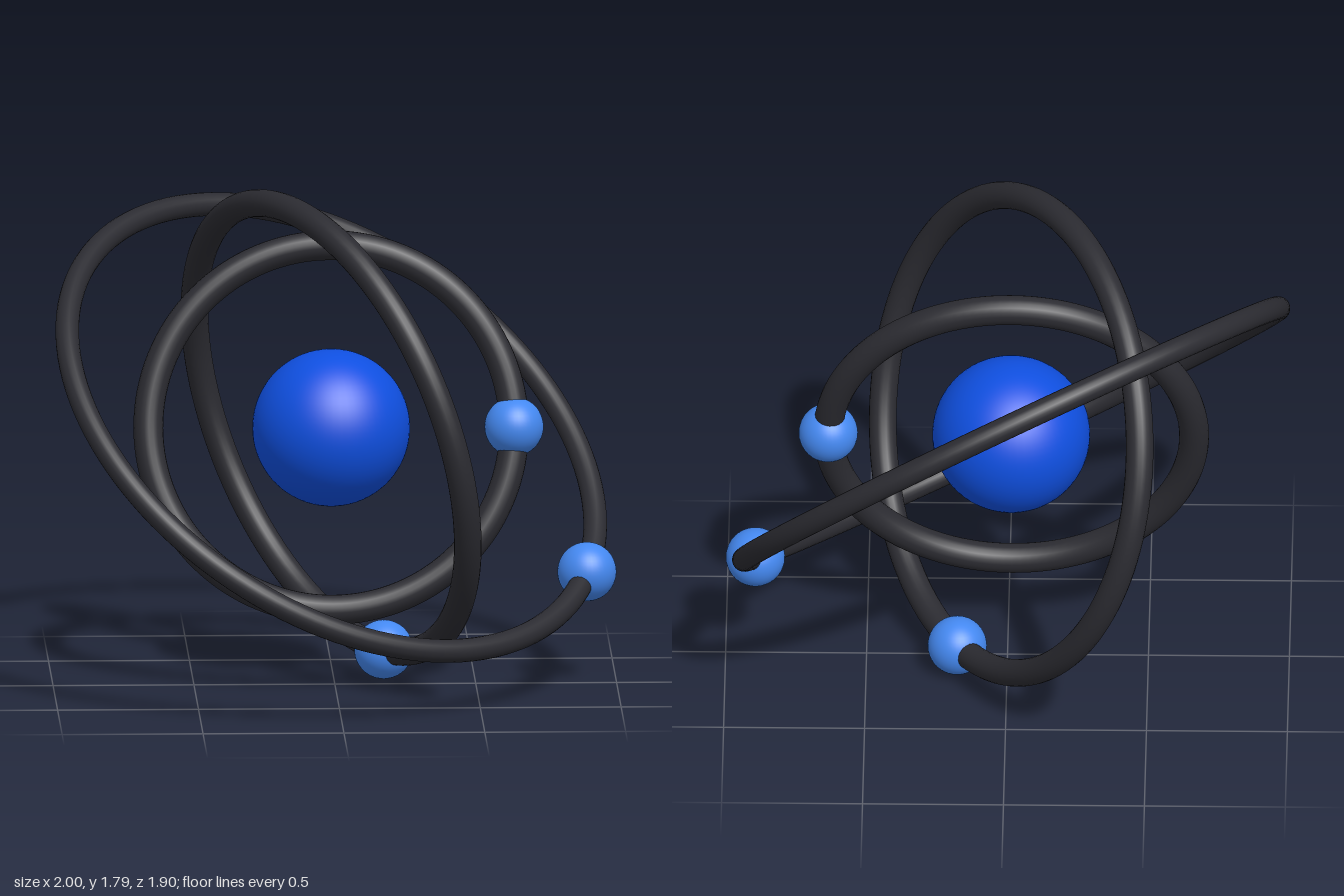
import * as THREE from 'three';

const CENTER = new THREE.Vector3(-0.013, 0.925, 0);
const ELECTRON_RADIUS = 0.105;

// Each orbit: ring radius, tube radius, plane normal, direction to its electron
const ORBITS = [
  { name: 'inner', radius: 0.649, tube: 0.053, normal: [0, 0.259, 0.966], electron: [1, 0, 0] },
  { name: 'middle', radius: 0.848, tube: 0.049, normal: [0.8365, 0.259, -0.483], electron: [0.224, -0.966, -0.129] },
  { name: 'outer', radius: 1.048, tube: 0.042, normal: [0.433, 0.75, 0.5], electron: [0.866, -0.5, 0] },
];

export function createModel() {
  const group = new THREE.Group();
  group.name = 'atom';

  const nucleusMaterial = new THREE.MeshStandardMaterial({ color: 0x0f4fe0 });
  const orbitMaterial = new THREE.MeshStandardMaterial({ color: 0x2b2b31 });
  const electronMaterial = new THREE.MeshStandardMaterial({ color: 0x4488f0 });

  const add = (name, geometry, material, position) => {
    const mesh = new THREE.Mesh(geometry, material);
    mesh.name = name;
    mesh.position.copy(position);
    group.add(mesh);
    return mesh;
  };

  // Central nucleus
  add('nucleus', new THREE.SphereGeometry(0.28, 64, 40), nucleusMaterial, CENTER);

  // Tilted orbit rings, each carrying one electron
  const electronGeometry = new THREE.SphereGeometry(ELECTRON_RADIUS, 40, 24);
  const forward = new THREE.Vector3(0, 0, 1);
  for (const { name, radius, tube, normal, electron } of ORBITS) {
    const ring = add(`${name}Orbit`, new THREE.TorusGeometry(radius, tube, 20, 128), orbitMaterial, CENTER);
    ring.quaternion.setFromUnitVectors(forward, new THREE.Vector3(...normal).normalize());

    const spot = new THREE.Vector3(...electron).setLength(radius).add(CENTER);
    add(`${name}Electron`, electronGeometry, electronMaterial, spot);
  }

  return group;
}
